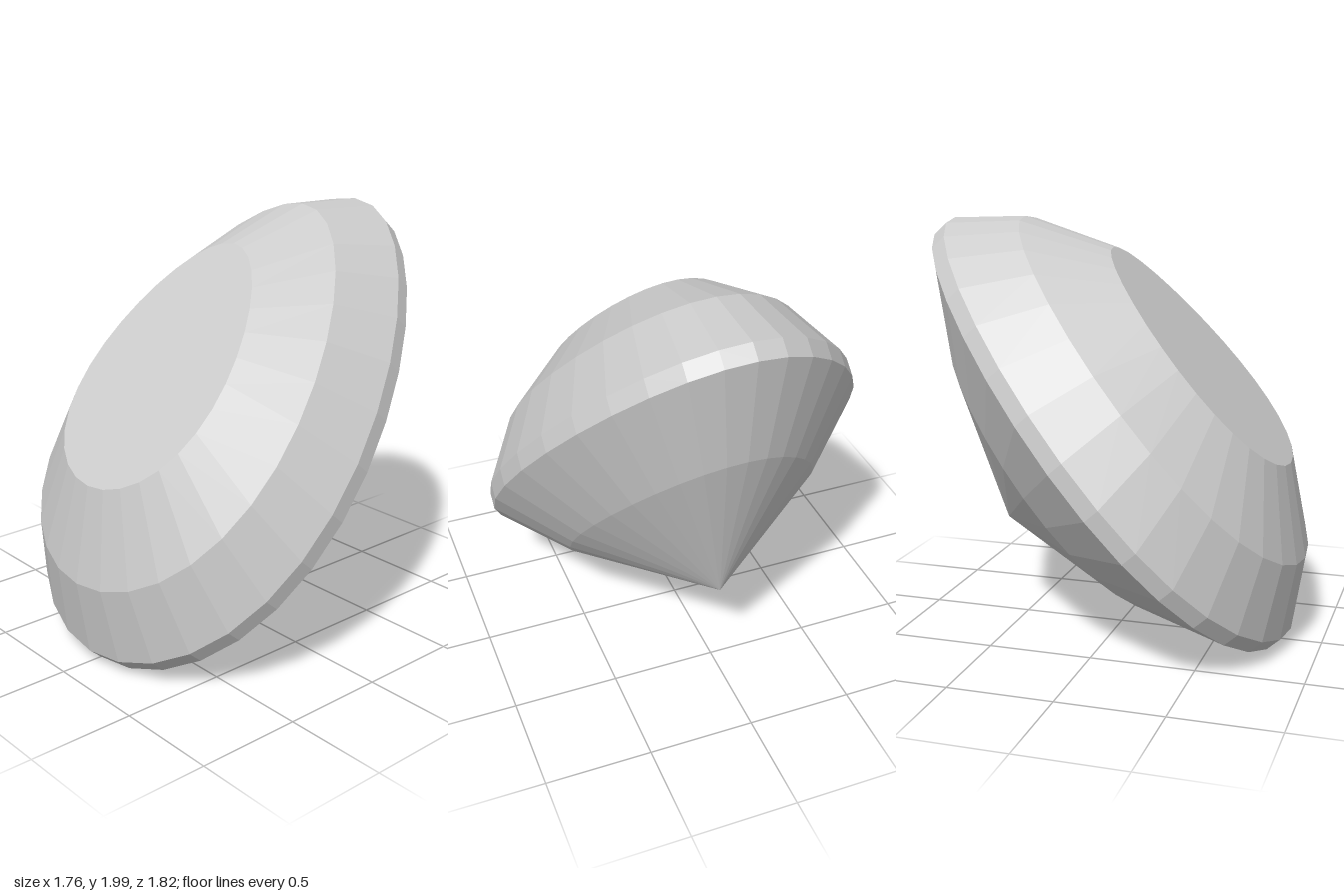
import * as THREE from 'three';

const SIDES = 32;
const HALF_LENGTH = 1.285; // half the length of the egg-shaped outline
const HALF_WIDTH = 0.866;
const TAPER = 0.195;       // how much wider the blunt end is than the tip

// Cut profile of the stone: [scale of the outline, height along the axis]
const CULET = [0, -0.119];
const LOWER_BREAK = [0.667, 0.293];
const GIRDLE_BOTTOM = [1, 0.594];
const GIRDLE_TOP = [1, 0.677];
const UPPER_BREAK = [0.818, 0.962];
const TABLE_EDGE = [0.51, 1.203];
const TABLE_CENTRE = [0, 1.203];

// Turn a profile into a faceted ring and reshape its circles into egg outlines
function facetRing(name, profile, material) {
  const points = profile.map(([r, h]) => new THREE.Vector2(r, h));
  const geometry = new THREE.LatheGeometry(points, SIDES);
  const pos = geometry.attributes.position;
  for (let i = 0; i < pos.count; i++) {
    const x = pos.getX(i), z = pos.getZ(i);
    const r = Math.hypot(x, z) || 1;
    pos.setX(i, x * HALF_WIDTH * (1 + TAPER * z / r));
    pos.setZ(i, z * HALF_LENGTH);
  }
  const flat = geometry.toNonIndexed();
  flat.computeVertexNormals();
  const mesh = new THREE.Mesh(flat, material);
  mesh.name = name;
  return mesh;
}

export function createModel() {
  const material = new THREE.MeshStandardMaterial({ color: 0xcccccc, flatShading: true });

  const gem = new THREE.Group();
  gem.name = 'gemstone';
  gem.add(
    facetRing('pavilion', [CULET, LOWER_BREAK, GIRDLE_BOTTOM], material),
    facetRing('girdle', [GIRDLE_BOTTOM, GIRDLE_TOP], material),
    facetRing('crown', [GIRDLE_TOP, UPPER_BREAK, TABLE_EDGE], material),
    facetRing('table', [TABLE_EDGE, TABLE_CENTRE], material),
  );

  // Lean the stone so that the table faces forwards and up
  gem.rotation.x = THREE.MathUtils.degToRad(48.55);
  gem.position.set(0, 0.575, -0.508);

  const model = new THREE.Group();
  model.name = 'model';
  model.add(gem);
  return model;
}
